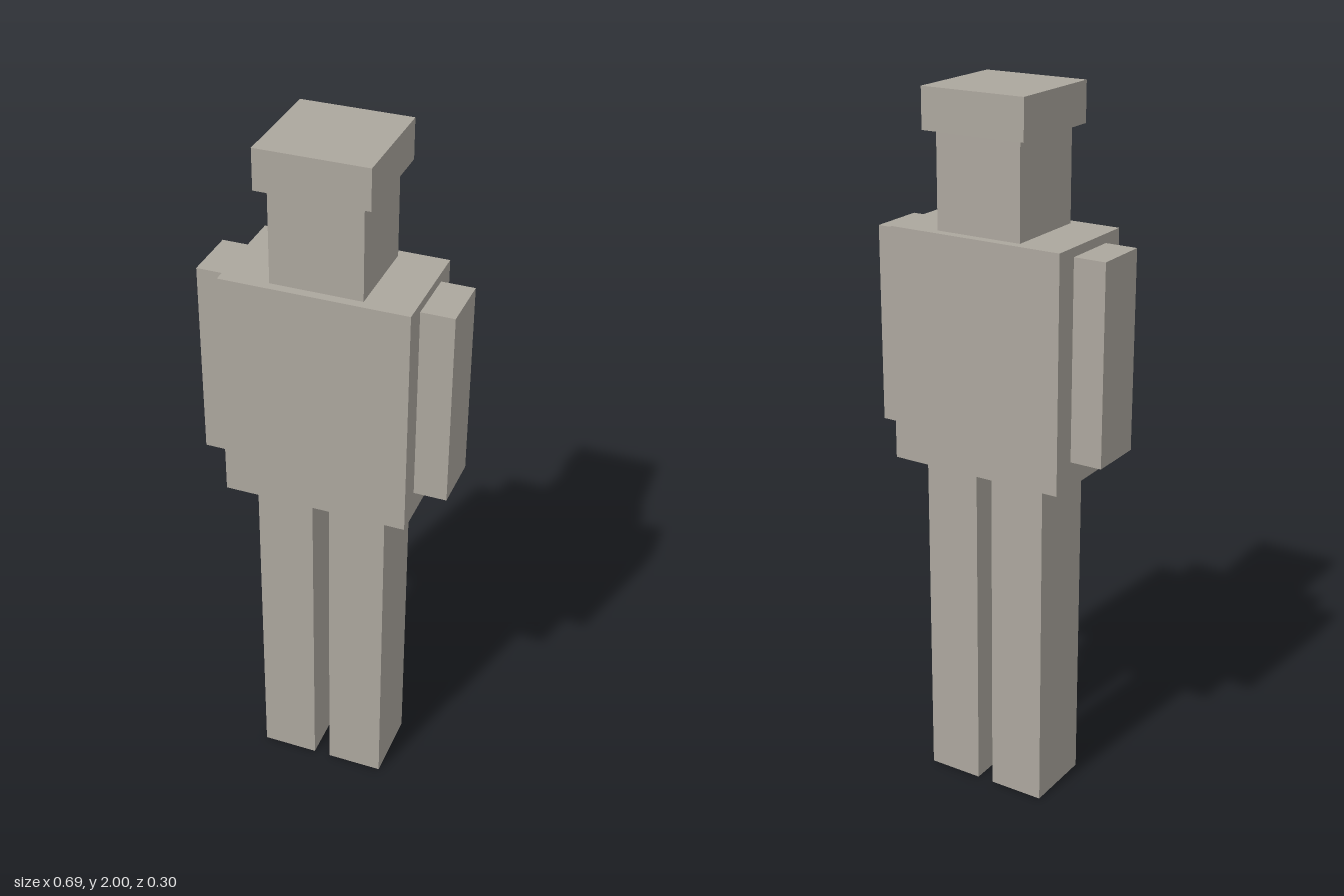
import * as THREE from 'three';

export function createModel() {
  const model = new THREE.Group();
  model.name = 'blockFigure';
  const stone = new THREE.MeshStandardMaterial({ color: 0xaca79e });
  stone.name = 'warm grey';

  // Box centred on z, placed by its centre x and its bottom and top heights
  const block = (name, x, bottom, top, width, depth) => {
    const mesh = new THREE.Mesh(new THREE.BoxGeometry(width, top - bottom, depth), stone);
    mesh.name = name;
    mesh.position.set(x, (bottom + top) / 2, 0);
    model.add(mesh);
  };

  // Body and head
  block('torso', 0, 0.98, 1.63, 0.512, 0.302);
  block('head', 0, 1.63, 1.89, 0.25, 0.25);
  block('hat', 0, 1.89, 2, 0.302, 0.302);

  // Paired limbs
  for (const [side, s] of [['left', 1], ['right', -1]]) {
    block(side + 'Arm', s * 0.301, 1.053, 1.605, 0.092, 0.162);
    block(side + 'Leg', s * 0.104, 0, 0.98, 0.16, 0.208);
  }
  return model;
}
